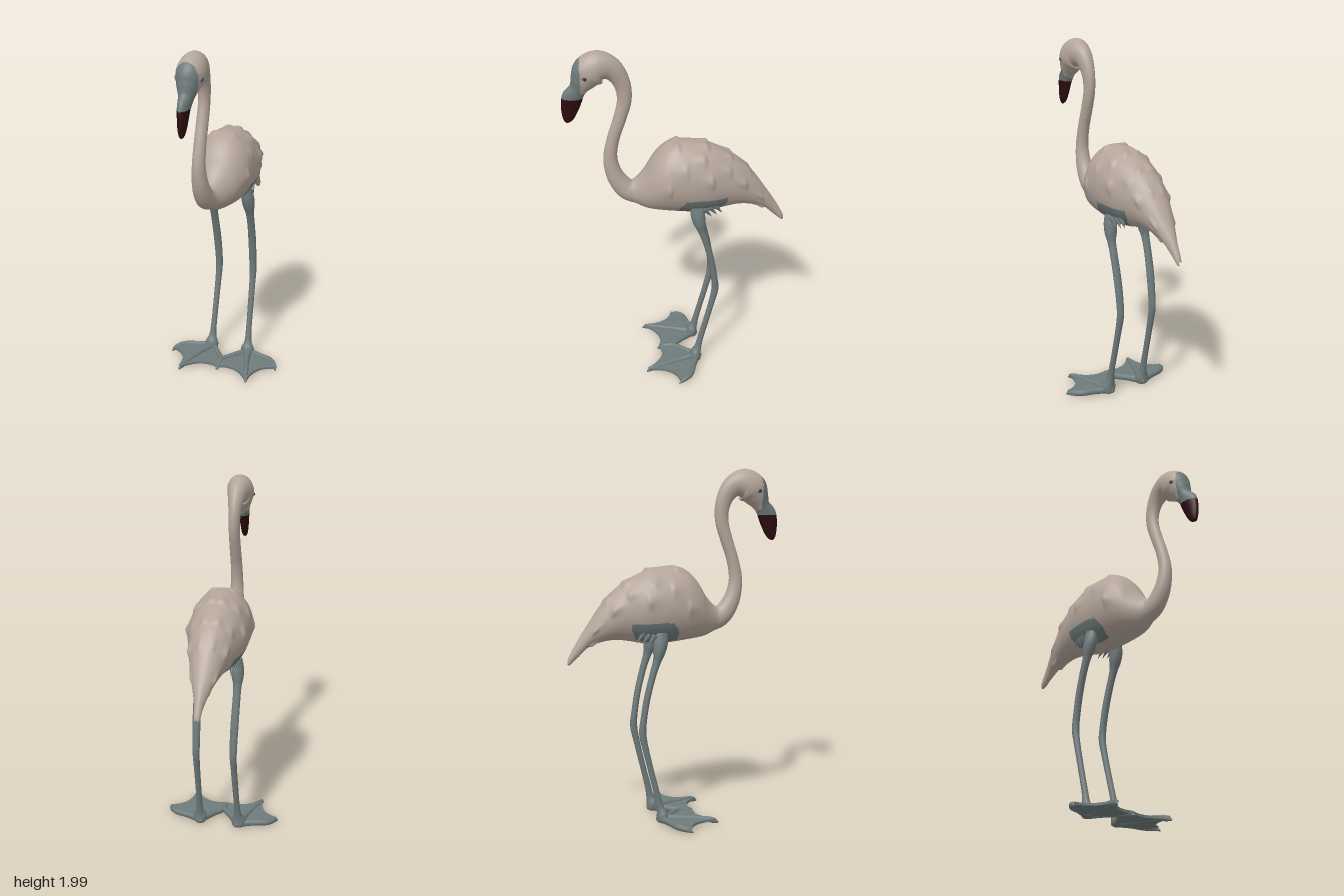
import * as THREE from 'three';

const mat = (name, color) => Object.assign(new THREE.MeshStandardMaterial({ color }), { name });
const plumage = mat('plumage', 0xb4a59a);
const greySkin = mat('greySkin', 0x6f7b7b);
const beakDark = mat('beakDark', 0x2c0c0f);
const eyeDark = mat('eyeDark', 0x2b2f30);

const V = (x, y, z) => new THREE.Vector3(x, y, z);
const Z = V(0, 0, 1);

// Smooth closed skin through elliptical sections [x, y, z, halfWidth, halfDepth].
// paint(p) gives the material index; bump(p, angle) scales the ring outward.
function loft(name, sections, mats, { steps = 60, sides = 24, axis, flat, paint, bump } = {}) {
  const path = new THREE.CatmullRomCurve3(sections.map(s => V(s[0], s[1], s[2])), false, 'catmullrom');
  const size = new THREE.CatmullRomCurve3(sections.map(s => V(s[3], s[4], 0)), false, 'catmullrom');
  const pts = [];
  for (let i = 0; i <= steps; i++) {
    const c = path.getPoint(i / steps), r = size.getPoint(i / steps);
    const t = axis || path.getTangent(i / steps);
    const X = flat ? V(0, 1, 0).cross(t).normalize() : V(1, 0, 0);
    const N = t.clone().cross(X).normalize();
    for (let j = 0; j < sides; j++) {
      const a = (j / sides) * Math.PI * 2;
      const k = bump ? bump(c, a) : 0;
      pts.push(c.clone()
        .addScaledVector(X, Math.cos(a) * (Math.max(r.x, 0.001) + k))
        .addScaledVector(N, Math.sin(a) * (Math.max(r.y, 0.001) + k)));
    }
  }
  const list = Array.isArray(mats) ? mats : [mats];
  const faces = list.map(() => []);
  const tri = (a, b, c) => {
    const m = pts[a].clone().add(pts[b]).add(pts[c]).divideScalar(3);
    faces[paint ? paint(m) : 0].push(a, b, c);
  };
  for (let i = 0; i < steps; i++) {
    for (let j = 0; j < sides; j++) {
      const k = (j + 1) % sides, p = i * sides, q = p + sides;
      tri(p + j, p + k, q + k);
      tri(p + j, q + k, q + j);
    }
  }
  const geo = new THREE.BufferGeometry().setFromPoints(pts);
  geo.setIndex(faces.flat());
  let start = 0;
  faces.forEach((f, i) => { geo.addGroup(start, f.length, i); start += f.length; });
  geo.computeVertexNormals();
  const mesh = new THREE.Mesh(geo, list);
  if (list.length === 1) { geo.clearGroups(); mesh.material = list[0]; }
  mesh.name = name;
  return mesh;
}

// Body and tail: [z, top, bottom, halfWidth]
function makeBody() {
  const profile = [
    [-0.61, 0.945, 0.925, 0.006], [-0.595, 0.98, 0.925, 0.017], [-0.55, 1.06, 0.965, 0.027],
    [-0.49, 1.15, 1.02, 0.052], [-0.42, 1.25, 1.045, 0.08], [-0.34, 1.335, 1.055, 0.108],
    [-0.26, 1.39, 1.045, 0.132], [-0.18, 1.43, 1.03, 0.155], [-0.09, 1.455, 1.025, 0.165],
    [0, 1.46, 1.033, 0.165], [0.07, 1.435, 1.042, 0.158], [0.13, 1.375, 1.05, 0.135],
    [0.18, 1.295, 1.06, 0.1], [0.23, 1.238, 1.082, 0.065], [0.28, 1.21, 1.11, 0.04], [0.30, 1.17, 1.15, 0.005],
  ];
  // feather tips: [z, angle from the spine, height]
  const tips = [
    [-0.16, 0.2, 0.017], [-0.14, 0.75, 0.014], [-0.18, 1.35, 0.016], [-0.29, 0.3, 0.014],
    [-0.28, 0.95, 0.013], [-0.37, 1.25, 0.018], [-0.40, 0.4, 0.012], [-0.47, 1.5, 0.01],
    [0, 0.35, 0.012], [-0.04, 1.1, 0.01], [0.05, 1.6, 0.012], [-0.48, 2.6, 0.014],
  ];
  const bump = (c, a) => {
    const fromSpine = Math.abs(Math.atan2(Math.cos(a), Math.sin(a)));
    let k = 0;
    for (const [z, angle, h] of tips) {
      const d = (c.z - z) / 0.09;
      const along = d >= 0 ? Math.max(0, 1 - d) ** 2 : Math.max(0, 1 + d * 6);
      k += h * along * Math.exp(-(((fromSpine - angle) / 0.17) ** 2));
    }
    return k;
  };
  // bare grey patch above each thigh
  const paint = p => {
    const edge = -0.27 + Math.max(0, 1.12 - p.y) * 0.6;
    const front = -Math.max(0, p.y - 1.1) * 0.7;
    return Math.abs(p.x) > 0.06 && p.y < 1.155 && p.z > edge && p.z < front ? 1 : 0;
  };
  return loft('body', profile.map(([z, t, b, w]) => [0, (t + b) / 2, z, w, (t - b) / 2]),
    [plumage, greySkin], { steps: 150, sides: 96, axis: Z, paint, bump });
}

// Neck, head and hooked beak in one skin: [z, y, halfWidth, halfDepth]
function makeNeckAndHead() {
  const s = [
    [0.16, 1.17, 0.07, 0.09], [0.22, 1.157, 0.058, 0.075], [0.285, 1.175, 0.052, 0.06],
    [0.335, 1.24, 0.047, 0.05], [0.362, 1.32, 0.04, 0.042], [0.366, 1.4, 0.035, 0.037],
    [0.345, 1.5, 0.033, 0.034], [0.312, 1.6, 0.032, 0.035], [0.284, 1.7, 0.031, 0.038],
    [0.284, 1.78, 0.033, 0.042], [0.308, 1.85, 0.04, 0.05], [0.352, 1.9, 0.053, 0.064],
    [0.41, 1.913, 0.07, 0.085], [0.46, 1.885, 0.075, 0.09], [0.493, 1.84, 0.06, 0.07],
    [0.522, 1.79, 0.04, 0.047], [0.552, 1.745, 0.03, 0.055], [0.566, 1.695, 0.025, 0.05],
    [0.578, 1.64, 0.02, 0.036], [0.586, 1.608, 0.013, 0.02], [0.588, 1.595, 0.003, 0.004],
  ];
  const paint = p => (p.z < 0.49 ? 0 : p.y < 1.738 ? 2 : p.z > 0.508 || p.y < 1.77 ? 1 : 0);
  return loft('neckAndHead', s.map(([z, y, w, d]) => [0, y, z, w, d]),
    [plumage, greySkin, beakDark], { steps: 220, sides: 48, paint });
}

// Webbed foot, symmetric about its own z axis
function makeFoot() {
  const foot = new THREE.Group();
  foot.name = 'foot';
  const web = new THREE.Shape();
  web.moveTo(0, -0.02);
  web.lineTo(0.075, 0.045);
  web.lineTo(0.145, 0.088);
  web.lineTo(0.17, 0.17);
  web.quadraticCurveTo(0.05, 0.16, 0.008, 0.305);
  web.lineTo(-0.008, 0.305);
  web.quadraticCurveTo(-0.05, 0.16, -0.17, 0.17);
  web.lineTo(-0.145, 0.088);
  web.lineTo(-0.075, 0.045);
  const geo = new THREE.ExtrudeGeometry(web, { depth: 0.014, bevelEnabled: false, curveSegments: 10 });
  geo.rotateX(Math.PI / 2).translate(0, 0.036, 0);
  const webMesh = new THREE.Mesh(geo, greySkin);
  webMesh.name = 'web';
  foot.add(webMesh);
  const opts = { steps: 24, sides: 12, flat: true };
  foot.add(loft('middleToe', [
    [0, 0.03, -0.035, 0.008, 0.01], [0, 0.035, 0, 0.024, 0.026], [0, 0.035, 0.12, 0.015, 0.019],
    [0, 0.033, 0.24, 0.014, 0.017], [0, 0.025, 0.29, 0.012, 0.016], [0, 0.012, 0.318, 0.003, 0.004],
  ], greySkin, opts));
  for (const s of [1, -1]) {
    foot.add(loft('sideToe', [
      [0, 0.033, -0.01, 0.018, 0.022], [s * 0.075, 0.035, 0.043, 0.015, 0.019],
      [s * 0.14, 0.033, 0.088, 0.014, 0.018], [s * 0.165, 0.027, 0.14, 0.013, 0.016],
      [s * 0.172, 0.012, 0.18, 0.003, 0.004],
    ], greySkin, opts));
  }
  return foot;
}

function makeLeg(side) {
  const leg = new THREE.Group();
  leg.name = side > 0 ? 'leftLeg' : 'rightLeg';
  // shank: [x, y, z, halfWidth, halfDepth]
  const s = [
    [0.1, 1.1, -0.1, 0.03, 0.04], [0.107, 1.04, -0.105, 0.036, 0.04], [0.11, 0.99, -0.115, 0.034, 0.034],
    [0.112, 0.94, -0.128, 0.024, 0.023], [0.112, 0.86, -0.153, 0.022, 0.019], [0.11, 0.74, -0.183, 0.023, 0.018],
    [0.108, 0.62, -0.203, 0.022, 0.018], [0.108, 0.53, -0.21, 0.02, 0.021], [0.109, 0.44, -0.193, 0.018, 0.018],
    [0.111, 0.3, -0.16, 0.017, 0.017], [0.113, 0.17, -0.128, 0.017, 0.018], [0.115, 0.1, -0.113, 0.022, 0.022],
    [0.116, 0.06, -0.1, 0.04, 0.032], [0.117, 0.02, -0.098, 0.035, 0.032], [0.117, 0.008, -0.098, 0.004, 0.004],
  ];
  leg.add(loft('shank', s.map(([x, ...r]) => [side * x, ...r]), greySkin, { steps: 80, sides: 16 }));
  const foot = makeFoot();
  foot.position.set(side * 0.115, 0, -0.1);
  foot.rotation.y = side * 0.307;
  leg.add(foot);
  // ragged thigh feathers
  for (let i = 0; i < 3; i++) {
    const feather = new THREE.Mesh(new THREE.ConeGeometry(0.018, 0.07, 8), greySkin);
    feather.name = 'thighFeather';
    feather.position.set(side * (0.115 - i * 0.008), 1.06 + i * 0.006, -0.16 - i * 0.03);
    feather.rotation.x = Math.PI + 0.7;
    leg.add(feather);
  }
  return leg;
}

export function createModel() {
  const bird = new THREE.Group();
  bird.name = 'wadingBird';
  bird.add(makeBody(), makeNeckAndHead());
  for (const side of [1, -1]) {
    bird.add(makeLeg(side));
    // eye with grey lid
    const lid = new THREE.Mesh(new THREE.SphereGeometry(0.017, 16, 12), greySkin);
    lid.name = 'eyelid';
    lid.scale.set(0.5, 0.8, 1);
    lid.position.set(side * 0.066, 1.875, 0.482);
    const eye = new THREE.Mesh(new THREE.SphereGeometry(0.01, 16, 12), eyeDark);
    eye.name = 'eye';
    eye.position.set(side * 0.067, 1.875, 0.483);
    bird.add(lid, eye);
  }
  return bird;
}
